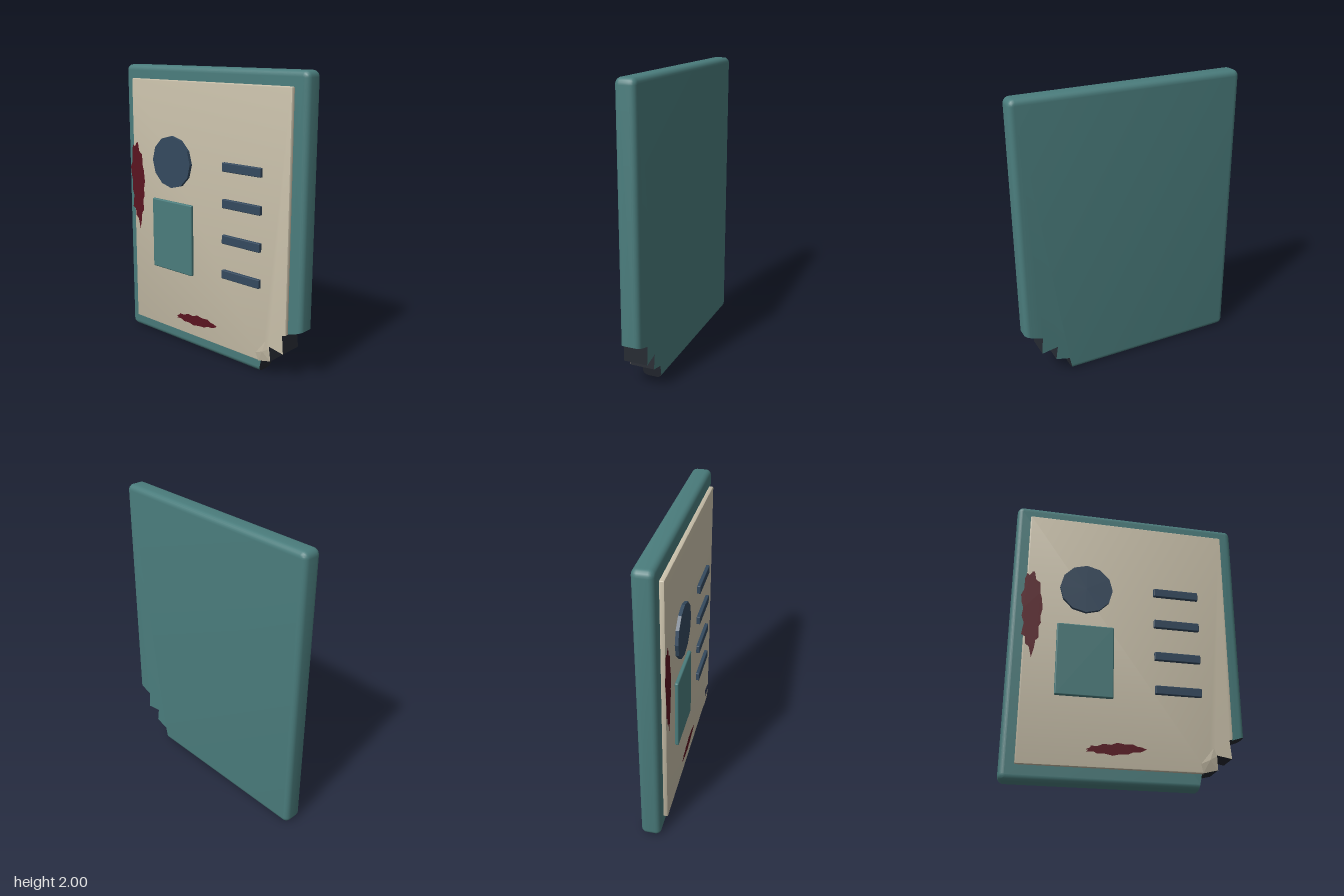
import * as THREE from 'three';
import { toCreasedNormals } from 'three/addons/utils/BufferGeometryUtils.js';
import { RoundedBoxGeometry } from 'three/addons/geometries/RoundedBoxGeometry.js';

const mat = (color, side = THREE.FrontSide) => new THREE.MeshStandardMaterial({ color, side });
const teal = mat(0x4a7c7c);
const cream = mat(0xc8bfa9);
const creamThin = mat(0xc8bfa9, THREE.DoubleSide);
const navy = mat(0x34495e);
const dark = mat(0x252931);
const red = mat(0x5a1420, THREE.DoubleSide);

function add(parent, name, geometry, material, x = 0, y = 0, z = 0) {
  const mesh = new THREE.Mesh(geometry, material);
  mesh.name = name;
  mesh.position.set(x, y, z);
  parent.add(mesh);
  return mesh;
}

function toGeometry(triangles) {
  const g = new THREE.BufferGeometry();
  g.setAttribute('position', new THREE.Float32BufferAttribute(triangles.flat(), 3));
  g.computeVertexNormals();
  return g;
}

// Slab with rounded edges whose lower +x corner is broken off along the tear line
function tornSlab(parent, name, material, { hx, y0, y1, z0, z1, bevel, radius, tear, steps }) {
  const n = tear.length;
  const outline = (inset) => {
    const pts = [];
    const corners = [[hx - radius, y1 - radius, 0], [radius - hx, y1 - radius, 1], [radius - hx, y0 + radius, 2]];
    for (const [cx, cy, q] of corners) {
      for (let i = 0; i <= 5; i++) {
        const a = (q + i / 5) * Math.PI / 2;
        pts.push([cx + (radius - inset) * Math.cos(a), cy + (radius - inset) * Math.sin(a)]);
      }
    }
    // the ends of the tear slide along their segments as the rim is inset
    const t = tear.map((p) => [...p]);
    const [a, b, c, d] = [tear[0], tear[1], tear[n - 2], tear[n - 1]];
    t[0] = [a[0] + (b[0] - a[0]) * inset / (b[1] - a[1]), a[1] + inset];
    t[n - 1] = [d[0] - inset, d[1] - (d[1] - c[1]) * inset / (d[0] - c[0])];
    return [...pts, ...t];
  };
  const layers = [];
  for (let i = 0; i <= steps; i++) {
    const a = i / steps * Math.PI / 2;
    layers.push([bevel * (1 - Math.sin(a)), z0 + bevel * (1 - Math.cos(a))]);
  }
  for (let i = steps; i >= 0; i--) layers.push([layers[i][0], z0 + z1 - layers[i][1]]);
  const loops = layers.map(([inset, z]) => outline(inset).map(([x, y]) => [x, y, z]));

  const shell = [], broken = [];
  const count = loops[0].length;
  for (let k = 0; k + 1 < loops.length; k++) {
    for (let j = 0; j < count; j++) {
      const m = (j + 1) % count;
      const [a, b, c, d] = [loops[k][j], loops[k][m], loops[k + 1][m], loops[k + 1][j]];
      (j >= count - n && j < count - 1 ? broken : shell).push(a, b, c, a, c, d);
    }
  }
  const front = loops[loops.length - 1], back = loops[0];
  const faces = THREE.ShapeUtils.triangulateShape(front.map(([x, y]) => new THREE.Vector2(x, y)), []);
  for (const [a, b, c] of faces) shell.push(front[a], front[b], front[c], back[a], back[c], back[b]);
  add(parent, name, toCreasedNormals(toGeometry(shell), 0.7), material);
  add(parent, name + 'BrokenEdge', toGeometry(broken), dark);
}

// Flat splash with a ragged outline
function stain(parent, name, points) {
  const shape = new THREE.Shape(points.map(([x, y]) => new THREE.Vector2(x, y)));
  add(parent, name, new THREE.ShapeGeometry(shape), red, 0, 0, 0.071);
}

export function createModel() {
  const group = new THREE.Group();
  group.name = 'brokenPanel';

  // Backing board and raised face sheet share one jagged break
  const jag = [[0.59, 0.125], [0.575, 0.225], [0.69, 0.205], [0.68, 0.33]];
  tornSlab(group, 'board', teal, {
    hx: 0.8, y0: 0, y1: 2, z0: -0.097, z1: 0.037, bevel: 0.036, radius: 0.042, steps: 5,
    tear: [[0.47, 0], [0.49, 0.1], ...jag, [0.8, 0.37]],
  });
  tornSlab(group, 'faceSheet', cream, {
    hx: 0.706, y0: 0.1, y1: 1.905, z0: 0.036, z1: 0.068, bevel: 0.008, radius: 0.009, steps: 2,
    tear: [[0.49, 0.1], ...jag, [0.706, 0.339]],
  });

  // Curled scrap of the face sheet beside the break
  const rim = [[0.49, 0.1, 0.069], [0.59, 0.125, 0.07], [0.582, 0.212, 0.086], [0.562, 0.265, 0.09], [0.475, 0.158, 0.08]];
  const fold = [0.535, 0.185, 0.088];
  const scrap = [];
  rim.forEach((p, i) => scrap.push(fold, p, rim[(i + 1) % rim.length]));
  add(group, 'curledScrap', toGeometry(scrap), creamThin);

  // Twelve-sided dial
  const dial = new THREE.CylinderGeometry(0.182, 0.182, 0.024, 12).toNonIndexed();
  dial.rotateX(Math.PI / 2);
  dial.computeVertexNormals();
  add(group, 'dial', dial, navy, -0.295, 1.345, 0.078);

  // Square plate and the row of bars
  add(group, 'plate', new RoundedBoxGeometry(0.387, 0.51, 0.026, 2, 0.009), teal, -0.294, 0.81, 0.08);
  for (let i = 0; i < 4; i++) {
    add(group, 'bar' + (i + 1), new RoundedBoxGeometry(0.32, 0.06, 0.026, 2, 0.005), navy, 0.34, 1.37 - i * 0.2435, 0.08);
  }

  // Dark red stains
  stain(group, 'sideStain', [
    [-0.655, 1.45], [-0.642, 1.385], [-0.612, 1.365], [-0.61, 1.29], [-0.598, 1.25], [-0.588, 1.17], [-0.6, 1.11],
    [-0.595, 1.06], [-0.61, 1.03], [-0.605, 0.95], [-0.625, 0.93], [-0.63, 0.88], [-0.647, 0.805], [-0.665, 0.88],
    [-0.69, 0.9], [-0.693, 0.95], [-0.72, 0.965], [-0.708, 1.05], [-0.725, 1.1], [-0.718, 1.16], [-0.73, 1.2],
    [-0.738, 1.26], [-0.72, 1.3], [-0.718, 1.39], [-0.705, 1.43], [-0.688, 1.415], [-0.67, 1.445],
  ]);
  stain(group, 'lowerStain', [
    [0.12, 0.232], [0.09, 0.245], [0.06, 0.248], [0.03, 0.262], [-0.02, 0.258], [-0.07, 0.266], [-0.11, 0.25],
    [-0.16, 0.254], [-0.2, 0.236], [-0.24, 0.238], [-0.245, 0.225], [-0.275, 0.212], [-0.255, 0.21], [-0.27, 0.198],
    [-0.22, 0.2], [-0.2, 0.188], [-0.15, 0.19], [-0.1, 0.18], [-0.06, 0.19], [0, 0.194], [0.03, 0.208],
    [0.08, 0.212], [0.1, 0.222],
  ]);
  return group;
}
